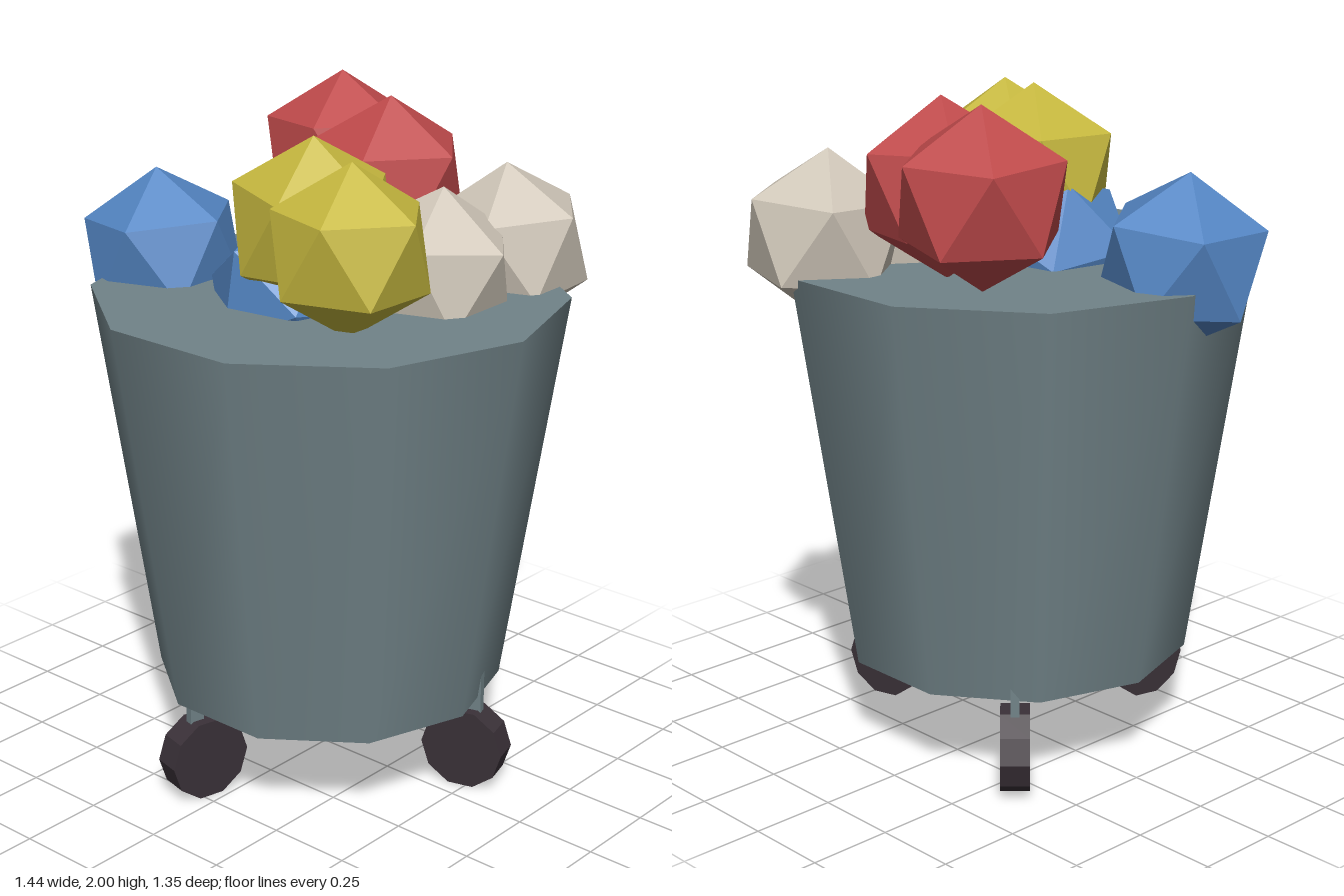
import * as THREE from 'three';

const mat = (name, color) => {
  const m = new THREE.MeshStandardMaterial({ color });
  m.name = name;
  return m;
};

// Right-handed frame whose y axis is a and whose x axis lies in the plane of a and b
function frame(a, b) {
  const y = a.clone().normalize();
  const x = b.clone().addScaledVector(y, -b.dot(y)).normalize();
  return new THREE.Matrix4().makeBasis(x, y, new THREE.Vector3().crossVectors(x, y));
}

export function createModel() {
  const steel = mat('grey steel', 0x718388);
  const rubber = mat('dark rubber', 0x3a3138);
  const red = mat('red', 0xbf4a4b);
  const blue = mat('blue', 0x5486c4);
  const yellow = mat('yellow', 0xc6b83f);
  const cream = mat('cream', 0xcfc6b8);

  const model = new THREE.Group();
  model.name = 'wheeledBin';
  const add = (parent, name, geometry, material) => {
    const mesh = new THREE.Mesh(geometry, material);
    mesh.name = name;
    parent.add(mesh);
    return mesh;
  };

  // Tapered ten-sided bin, closed at the top
  const cx = 0.037, cz = 0.026;
  const bin = add(model, 'bin', new THREE.CylinderGeometry(0.69, 0.515, 1.185, 10).rotateY(Math.PI / 2), steel);
  bin.position.set(cx, 0.8825, cz);

  // Three casters, each rolling along its radius
  for (let i = 0; i < 3; i++) {
    const caster = new THREE.Group();
    caster.name = 'caster' + (i + 1);
    caster.position.set(cx, 0, cz);
    caster.rotation.y = 0.28 + i * Math.PI * 2 / 3;
    const wheel = add(caster, 'wheel',
      new THREE.CylinderGeometry(0.127, 0.127, 0.085, 10).rotateY(Math.PI / 10).rotateX(Math.PI / 2).toNonIndexed(), rubber);
    wheel.geometry.computeVertexNormals();
    wheel.position.set(0.453, 0.125, 0);
    const stem = add(caster, 'stem', new THREE.BoxGeometry(0.045, 0.18, 0.025), steel);
    stem.position.set(0.478, 0.29, 0);
    model.add(caster);
  }

  // Faceted balls: centre, top corner, a neighbouring corner, radius
  const t = (1 + Math.sqrt(5)) / 2;
  const unturn = frame(new THREE.Vector3(-1, t, 0), new THREE.Vector3(1, t, 0)).transpose();
  const balls = [
    ['blueBallOuter', blue, [-0.49, 1.52, 0.16], [-0.51, 1.77, 0.165], [-0.26, 1.67, 0.16], 0.255],
    ['blueBallInner', blue, [-0.02, 1.48, 0.125], [-0.06, 1.64, 0.32], [-0.14, 1.71, 0.07], 0.25],
    ['redBallOuter', red, [-0.28, 1.745, -0.40], [-0.29, 2.0, -0.41], [-0.49, 1.84, -0.55], 0.255],
    ['redBallInner', red, [-0.02, 1.725, -0.30], [-0.01, 1.98, -0.30], [0.07, 1.83, -0.07], 0.255],
    ['yellowBallInner', yellow, [0.07, 1.70, 0.13], [0.08, 1.95, 0.14], [-0.12, 1.82, -0.02], 0.255],
    ['yellowBallOuter', yellow, [0.30, 1.69, 0.24], [0.30, 1.93, 0.235], [0.37, 1.81, 0.44], 0.245],
    ['creamBallBack', cream, [0.32, 1.56, -0.45], [0.31, 1.8, -0.44], [0.12, 1.67, -0.58], 0.25],
    ['creamBallSide', cream, [0.295, 1.55, -0.13], [0.32, 1.8, -0.135], [0.53, 1.66, -0.14], 0.25],
  ];
  for (const [name, material, centre, top, side, r] of balls) {
    const c = new THREE.Vector3(...centre);
    const turn = frame(new THREE.Vector3(...top).sub(c), new THREE.Vector3(...side).sub(c));
    const geometry = new THREE.IcosahedronGeometry(r, 0).applyMatrix4(turn.multiply(unturn));
    add(model, name, geometry, material).position.copy(c);
  }
  return model;
}
